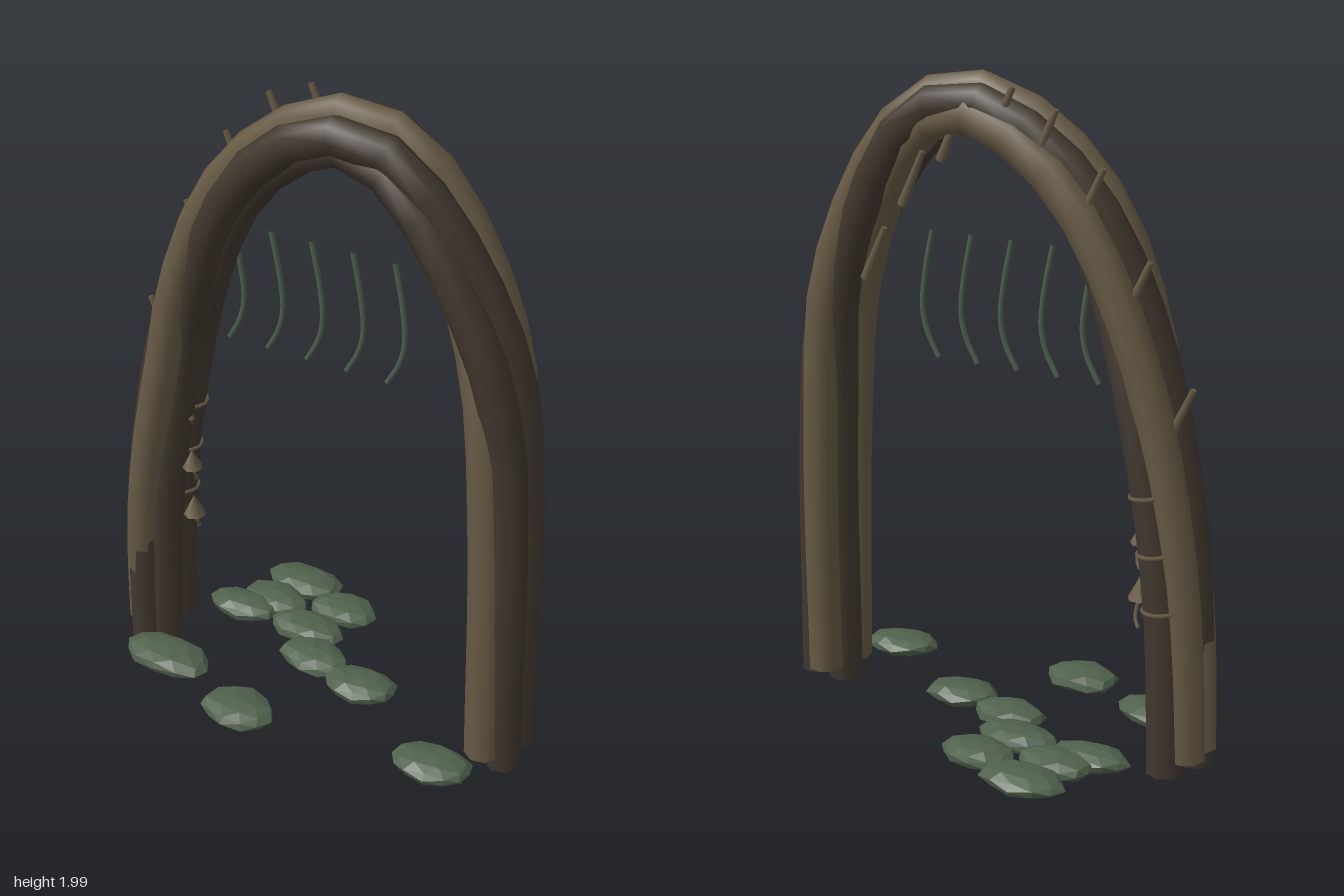
import * as THREE from 'three';

const V = (x, y, z = 0) => new THREE.Vector3(x, y, z);
const mat = (name, color) => {
  const m = new THREE.MeshStandardMaterial({ color });
  m.name = name;
  return m;
};

export function createModel() {
  const darkBark = mat('dark bark', 0x41382e);
  const lightBark = mat('light bark', 0x675a44);
  const vineGreen = mat('vine green', 0x4a5f4e);
  const stoneGreen = mat('mossy stone', 0x50614c);
  stoneGreen.flatShading = true;

  const model = new THREE.Group();
  model.name = 'twistedArch';
  const add = (name, geometry, material, parent = model) => {
    const mesh = new THREE.Mesh(geometry, material);
    mesh.name = name;
    parent.add(mesh);
    return mesh;
  };

  // Centre line of the arch
  const spine = new THREE.CatmullRomCurve3([
    V(-0.62, 0.012), V(-0.595, 0.55), V(-0.525, 1.0), V(-0.43, 1.36), V(-0.3, 1.64),
    V(-0.125, 1.825), V(0.12, 1.915), V(0.275, 1.835), V(0.43, 1.61), V(0.55, 1.3),
    V(0.595, 0.85), V(0.615, 0.015),
  ]);

  // Five strands: angle round the centre line (0 = outward, 90 = front) at five
  // even steps along the arch, distance from it, and where each is cut off
  const strands = [
    { angles: [40, 95, 0, -90, -110], reach: 0.95, material: lightBark, start: 0.014, end: 0.985 },
    { angles: [150, 165, 75, -30, -28], reach: 1, material: darkBark, start: 0.004, end: 0.992 },
    { angles: [80, 30, -62, -162, -182], reach: 0.88, material: darkBark, start: 0, end: 0.998 },
    { angles: [-30, -50, -120, -230, -250], reach: 1.06, material: lightBark, start: 0.017, end: 0.99 },
    { angles: [-120, -130, -220, -315, -325], reach: 1, material: darkBark, start: 0.006, end: 1 },
  ];
  const strandPoint = (t, { angles, reach }) => {
    const p = spine.getPointAt(t), d = spine.getTangentAt(t);
    const i = Math.min(3, Math.floor(t * 4));
    const a = THREE.MathUtils.degToRad(THREE.MathUtils.lerp(angles[i], angles[i + 1], t * 4 - i));
    const out = 0.042 * reach * Math.cos(a);
    return V(p.x - d.y * out, p.y + d.x * out, 0.028 + 0.083 * reach * Math.sin(a));
  };
  strands.forEach((strand) => {
    const { material, start, end } = strand;
    const group = new THREE.Group();
    group.name = 'strand';
    model.add(group);
    const points = [];
    for (let i = 0; i <= 24; i++) {
      points.push(strandPoint(THREE.MathUtils.lerp(start, end, i / 24), strand));
    }
    const curve = new THREE.CatmullRomCurve3(points);
    add('strandBark', new THREE.TubeGeometry(curve, 28, 0.056, 8), material, group);
    [0, 1].forEach((u) => {
      const cap = add('strandEnd', new THREE.CircleGeometry(0.056, 8), material, group);
      const p = curve.getPointAt(u);
      cap.position.copy(p);
      cap.lookAt(p.clone().addScaledVector(curve.getTangentAt(u), u ? 1 : -1));
    });
  });

  // Blunt thorns, all leaning the same way
  [
    [-0.605, 1.12, -0.03], [-0.475, 1.46, -0.05], [-0.335, 1.7, -0.06], [-0.19, 1.845, -0.06],
    [-0.055, 1.895, -0.06], [0.105, 1.835, -0.06], [0.235, 1.695, -0.06], [0.375, 1.46, -0.05],
  ].forEach(([x, y, z]) => {
    const thorn = add('thorn', new THREE.CylinderGeometry(0.009, 0.015, 0.175, 6), lightBark);
    thorn.position.set(x, y, z);
    thorn.rotation.z = 0.42;
  });

  // Hanging vines under the crown
  for (let i = 0; i < 5; i++) {
    const x = -0.32 + i * 0.132;
    const curve = new THREE.CatmullRomCurve3([
      V(x, 1.54), V(x + 0.028, 1.4), V(x + 0.036, 1.3), V(x + 0.02, 1.23), V(x - 0.018, 1.16),
    ]);
    add('hangingVine', new THREE.TubeGeometry(curve, 12, 0.008, 6), vineGreen);
  }

  // Pointed fungi with curled tendrils on the inner side of one leg
  [[0.55, 1], [0.72, 0.9], [0.88, 0.4]].forEach(([y, size]) => {
    const fungus = new THREE.Group();
    fungus.name = 'fungus';
    fungus.position.set(-0.458, y, 0.05);
    fungus.scale.setScalar(size);
    model.add(fungus);
    add('fungusCap', new THREE.ConeGeometry(0.036, 0.07, 7), lightBark, fungus);
    const curl = new THREE.CatmullRomCurve3([
      V(-0.002, -0.02, 0.01), V(0.008, -0.06, 0), V(0.003, -0.09, -0.02), V(-0.017, -0.11, -0.04),
    ]);
    add('fungusTendril', new THREE.TubeGeometry(curl, 8, 0.006, 5), lightBark, fungus);
  });

  // Thin bands gripping the dark strand behind the fungi
  [0.125, 0.165, 0.205].forEach((t) => {
    const band = add('barkBand', new THREE.TorusGeometry(0.056, 0.007, 5, 16), lightBark);
    band.position.copy(strandPoint(t, strands[4]));
    band.lookAt(band.position.clone().add(spine.getTangentAt(t)));
  });

  // Flat mossy stones: x, z, half width, half depth
  [
    [-0.287, -0.335, 0.135, 0.082], [-0.1, -0.265, 0.115, 0.08], [-0.325, -0.205, 0.12, 0.08],
    [-0.395, -0.125, 0.125, 0.07], [-0.155, -0.125, 0.13, 0.075], [-0.06, -0.01, 0.12, 0.08],
    [0.14, 0.04, 0.118, 0.08], [-0.467, 0.222, 0.155, 0.085], [-0.135, 0.322, 0.12, 0.09],
    [0.498, 0.245, 0.125, 0.082],
  ].forEach(([x, z, w, d], k) => {
    const geometry = new THREE.IcosahedronGeometry(1, 1);
    const p = geometry.attributes.position;
    for (let i = 0; i < p.count; i++) {
      const a = p.getX(i), b = p.getY(i), c = p.getZ(i);
      const s = 1 + 0.06 * Math.sin(5 * a + 3 * b + 4 * c + k * 2);
      p.setXYZ(i, a * s * w, b * s * 0.036, c * s * d);
    }
    geometry.computeVertexNormals();
    const stone = add('stone', geometry, stoneGreen);
    stone.position.set(x, 0.064, z);
    stone.rotation.y = 0.12 * Math.sin(k * 2.3);
  });

  return model;
}
